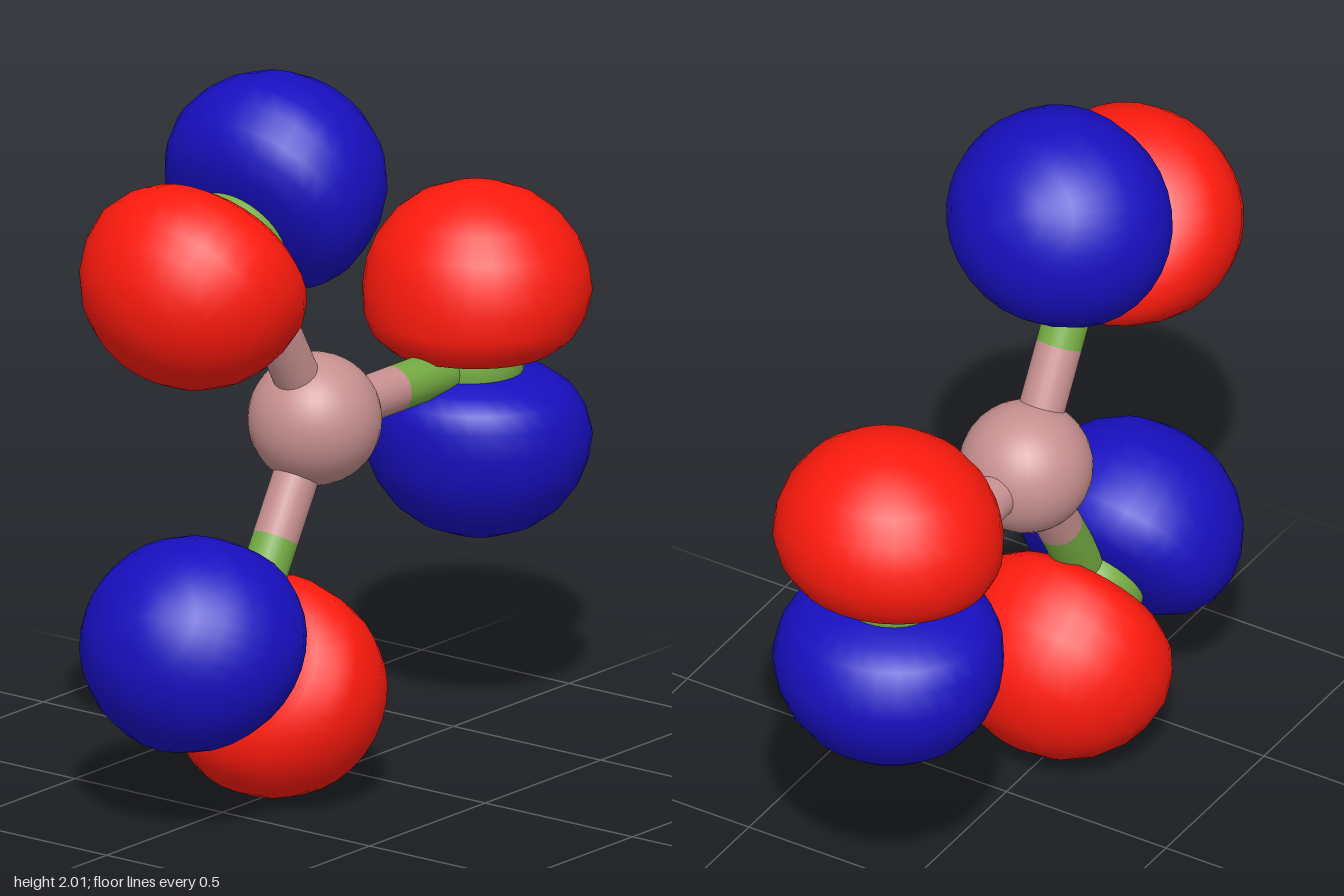
import * as THREE from 'three';

const mat = (color) => new THREE.MeshStandardMaterial({ color, roughness: 0.6 });

function part(name, geometry, material) {
  const mesh = new THREE.Mesh(geometry, material);
  mesh.name = name;
  return mesh;
}

// Rod lying along +x between two distances from the core
function rod(name, from, to, material) {
  const g = new THREE.CylinderGeometry(0.063, 0.063, to - from, 24);
  g.rotateZ(Math.PI / 2).translate((from + to) / 2, 0, 0);
  return part(name, g, material);
}

// Rounded lobe with a flattened base, leaning slightly towards the core
function lobeGeometry() {
  const profile = [
    [0, 0.02], [0.13, 0.022], [0.215, 0.042], [0.262, 0.08], [0.287, 0.13],
    [0.297, 0.2], [0.287, 0.27], [0.262, 0.335], [0.215, 0.4],
    [0.155, 0.447], [0.08, 0.477], [0, 0.486],
  ].map(([r, h]) => new THREE.Vector2(r, h));
  const g = new THREE.LatheGeometry(profile, 32);
  const p = g.attributes.position;
  for (let i = 0; i < p.count; i++) {
    const low = Math.max(0, 1 - p.getY(i) / 0.2);
    p.setX(i, p.getX(i) - 0.035 * low);
    p.setZ(i, p.getZ(i) * 1.06);
  }
  g.computeVertexNormals();
  // Restore matching normals along the lathe seam
  const n = g.attributes.normal, m = profile.length, last = 32 * m;
  for (let j = 0; j < m; j++) {
    const v = new THREE.Vector3().fromBufferAttribute(n, j)
      .add(new THREE.Vector3().fromBufferAttribute(n, last + j)).normalize();
    n.setXYZ(j, v.x, v.y, v.z);
    n.setXYZ(last + j, v.x, v.y, v.z);
  }
  // Smooth poles
  for (let i = 0; i <= 32; i++) {
    n.setXYZ(i * m, 0, -1, 0);
    n.setXYZ(i * m + m - 1, 0, 1, 0);
  }
  return g;
}

export function createModel() {
  const model = new THREE.Group();
  model.name = 'molecule';
  const pink = mat(0xc89090), green = mat(0x74ab42);
  const red = mat(0xff1a0d), blue = mat(0x180fc0);
  const lobe = lobeGeometry();

  // Central atom
  const core = part('centralAtom', new THREE.SphereGeometry(0.18, 32, 24), pink);
  core.position.set(-0.1, 1, 0);
  model.add(core);

  // Three arms in a plane, 120 degrees apart
  for (let i = 0; i < 3; i++) {
    const arm = new THREE.Group();
    arm.name = 'arm' + (i + 1);
    arm.position.copy(core.position);
    arm.rotation.z = (i * Math.PI * 2) / 3;

    const atom = part('outerAtom', new THREE.SphereGeometry(0.143, 32, 24), green);
    atom.position.x = 0.675;
    const upper = part('redLobe', lobe, red);
    upper.position.x = 0.704;
    const lower = part('blueLobe', lobe, blue);
    lower.position.x = 0.704;
    lower.rotation.x = Math.PI;

    arm.add(
      rod('innerBond', 0.1, 0.34, pink),
      rod('outerBond', 0.34, 0.66, green),
      atom, upper, lower,
    );
    model.add(arm);
  }
  return model;
}
